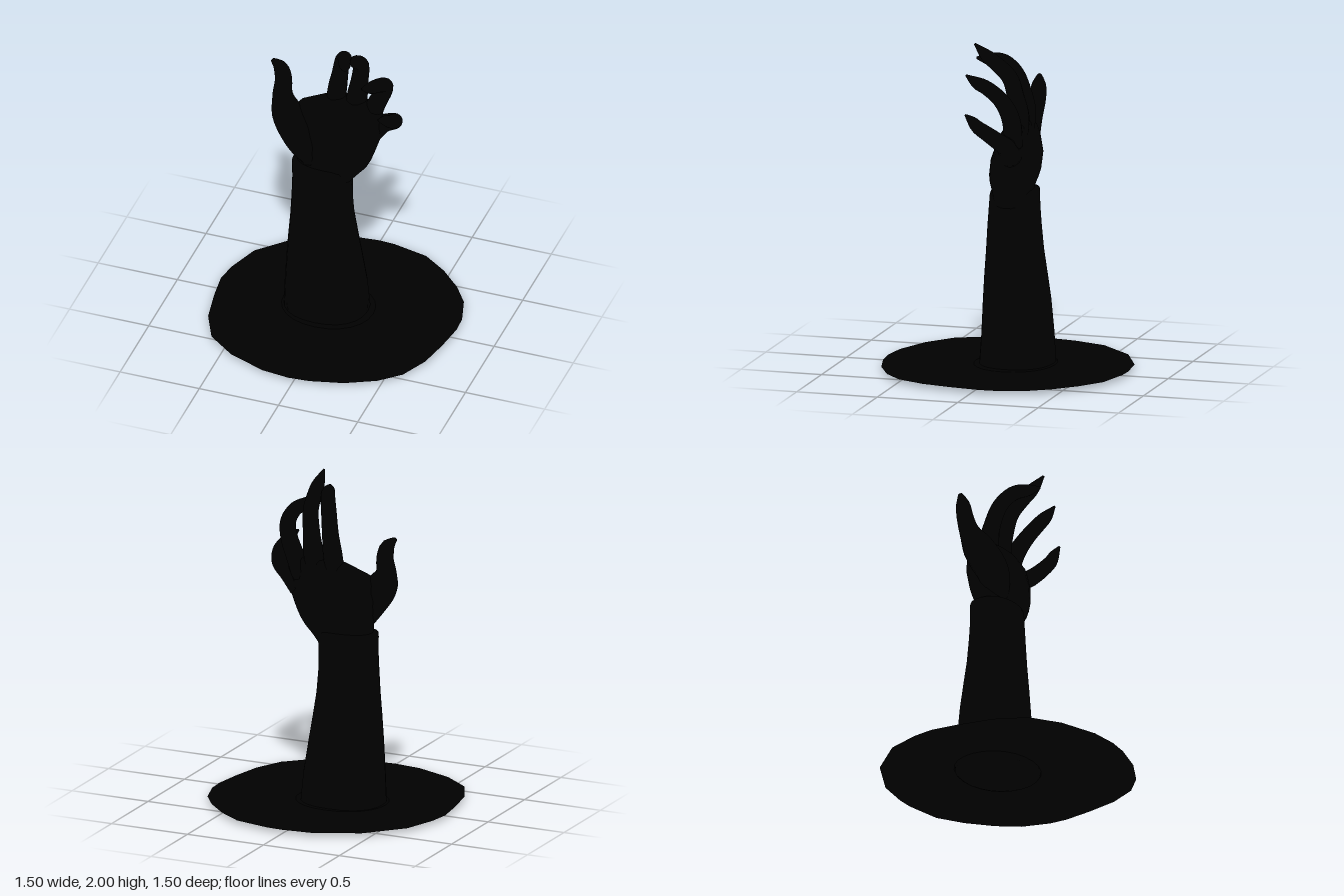
import * as THREE from 'three';

const black = new THREE.MeshStandardMaterial({ color: 0x000000 });
black.name = 'black';
const blackSheet = new THREE.MeshStandardMaterial({ color: 0x000000, side: THREE.DoubleSide });
blackSheet.name = 'blackSheet';

// Closed skin over a list of rings that all have the same number of points.
function skin(rings) {
  const sides = rings[0].length, pos = [], idx = [];
  rings.forEach(r => r.forEach(p => pos.push(p.x, p.y, p.z)));
  for (let i = 0; i < rings.length - 1; i++) {
    for (let k = 0; k < sides; k++) {
      const a = i * sides + k, b = i * sides + (k + 1) % sides;
      idx.push(a, b, a + sides, b, b + sides, a + sides);
    }
  }
  [0, rings.length - 1].forEach((i, end) => {
    const c = new THREE.Vector3();
    rings[i].forEach(p => c.addScaledVector(p, 1 / sides));
    const ci = pos.length / 3;
    pos.push(c.x, c.y, c.z);
    for (let k = 0; k < sides; k++) {
      const a = i * sides + k, b = i * sides + (k + 1) % sides;
      if (end) idx.push(ci, a, b); else idx.push(ci, b, a);
    }
  });
  const g = new THREE.BufferGeometry();
  g.setAttribute('position', new THREE.Float32BufferAttribute(pos, 3));
  g.setIndex(idx);
  g.computeVertexNormals();
  return g;
}

// Level rings from [y, xMin, xMax, zMin, zMax]; power below 1 squares them off.
function loft(sections, power, sides = 24) {
  const bend = v => Math.sign(v) * Math.abs(v) ** power;
  return skin(sections.map(([y, x0, x1, z0, z1]) => Array.from({ length: sides }, (_, k) => {
    const a = k / sides * Math.PI * 2;
    return new THREE.Vector3(
      (x0 + x1) / 2 + bend(Math.cos(a)) * (x1 - x0) / 2, y,
      (z0 + z1) / 2 - bend(Math.sin(a)) * (z1 - z0) / 2);
  })));
}

// Tapered limb along a curve through [x, y, z, radius].
function finger(points, steps = 24, sides = 14) {
  const path = new THREE.CatmullRomCurve3(points.map(p => new THREE.Vector3(p[0], p[1], p[2])));
  const radii = new THREE.CatmullRomCurve3(points.map(p => new THREE.Vector3(p[3], 0, 0)), false, 'catmullrom');
  const frames = path.computeFrenetFrames(steps);
  const rings = [];
  for (let i = 0; i <= steps; i++) {
    const t = path.getUtoTmapping(i / steps);
    const c = path.getPoint(t), r = radii.getPoint(t).x;
    rings.push(Array.from({ length: sides }, (_, k) => {
      const a = k / sides * Math.PI * 2;
      return c.clone().addScaledVector(frames.normals[i], Math.cos(a) * r)
        .addScaledVector(frames.binormals[i], Math.sin(a) * r);
    }));
  }
  return skin(rings);
}

export function createModel() {
  const model = new THREE.Group();
  model.name = 'reachingArm';
  const add = (name, geometry, material = black, parent = model) => {
    const m = new THREE.Mesh(geometry, material);
    m.name = name;
    parent.add(m);
    return m;
  };

  // Uneven flat puddle on the ground
  const outline = [
    [0, -.75], [.1, -.745], [.32, -.695], [.47, -.59], [.6, -.46], [.69, -.33], [.74, -.16],
    [.745, -.05], [.72, .13], [.68, .32], [.6, .49], [.48, .6], [.3, .69], [.1, .74],
    [-.03, .75], [-.2, .73], [-.43, .64], [-.6, .51], [-.69, .32], [-.73, .1],
    [-.75, -.07], [-.73, -.2], [-.66, -.4], [-.46, -.61], [-.2, -.73],
  ].map(([x, z]) => new THREE.Vector2(x, -z));
  const puddle = new THREE.ShapeGeometry(new THREE.Shape(outline));
  puddle.rotateX(-Math.PI / 2).translate(0, .03, 0);
  add('puddle', puddle, blackSheet);

  // Low ripple where the arm comes out
  add('ripple', loft([
    [.004, -.3, .18, -.25, .16], [.014, -.335, .215, -.275, .2],
    [.03, -.34, .225, -.28, .21], [.036, -.32, .19, -.265, .18],
  ], .95));

  // Sleeve, flaring to the ground and ending in a cuff
  add('sleeve', loft([
    [.01, -.328, .19, -.267, .18], [.2, -.322, .172, -.255, .168], [.4, -.308, .142, -.235, .163],
    [.55, -.295, .12, -.213, .157], [.7, -.281, .1, -.19, .148], [.85, -.273, .09, -.175, .14],
    [.97, -.27, .092, -.166, .13], [1.05, -.275, .098, -.163, .123],
    [1.075, -.275, .1, -.16, .113], [1.085, -.25, .1, -.145, .09],
  ], .9));

  const hand = new THREE.Group();
  hand.name = 'hand';
  model.add(hand);

  // Palm, from the wrist to the knuckles
  add('palm', loft([
    [.97, -.22, .07, -.12, .08], [1.0, -.23, .1, -.125, .085], [1.05, -.245, .14, -.13, .085],
    [1.1, -.25, .185, -.14, .082], [1.15, -.255, .21, -.163, .09], [1.2, -.26, .228, -.18, .092],
    [1.3, -.29, .26, -.188, .075], [1.4, -.29, .285, -.163, .03], [1.45, -.25, .282, -.153, .01],
    [1.48, -.18, .25, -.152, -.01], [1.51, -.11, .215, -.15, -.03], [1.525, -.07, .18, -.14, -.05],
  ], .85), black, hand);

  // Thumb with its fleshy base, then the clawing fingers
  const digits = {
    thumb: [[-.13, 1.1, 0, .07], [-.21, 1.25, .025, .098], [-.31, 1.385, -.015, .095], [-.353, 1.48, -.05, .062],
      [-.358, 1.58, -.078, .051], [-.378, 1.655, -.08, .043], [-.425, 1.705, -.07, .012]],
    indexFinger: [[-.04, 1.42, -.09, .055], [-.03, 1.56, -.11, .058], [-.01, 1.68, -.1, .05], [.02, 1.81, -.06, .046],
      [.06, 1.885, .01, .043], [.09, 1.895, .09, .035], [.115, 1.905, .155, .007]],
    middleFinger: [[.08, 1.42, -.09, .06], [.1, 1.56, -.105, .061], [.12, 1.68, -.09, .052], [.14, 1.8, -.06, .048],
      [.15, 1.875, .01, .044], [.155, 1.93, .08, .038], [.155, 1.998, .155, .006]],
    ringFinger: [[.18, 1.4, -.09, .06], [.225, 1.53, -.1, .056], [.27, 1.63, -.085, .052], [.298, 1.71, -.04, .047],
      [.29, 1.765, .04, .043], [.26, 1.785, .11, .036], [.23, 1.82, .185, .006]],
    littleFinger: [[.2, 1.33, -.08, .07], [.27, 1.4, -.08, .056], [.345, 1.455, -.05, .05], [.375, 1.505, .01, .045],
      [.37, 1.54, .07, .04], [.35, 1.57, .11, .03], [.325, 1.6, .16, .006]],
  };
  for (const [name, points] of Object.entries(digits)) add(name, finger(points), black, hand);

  return model;
}
